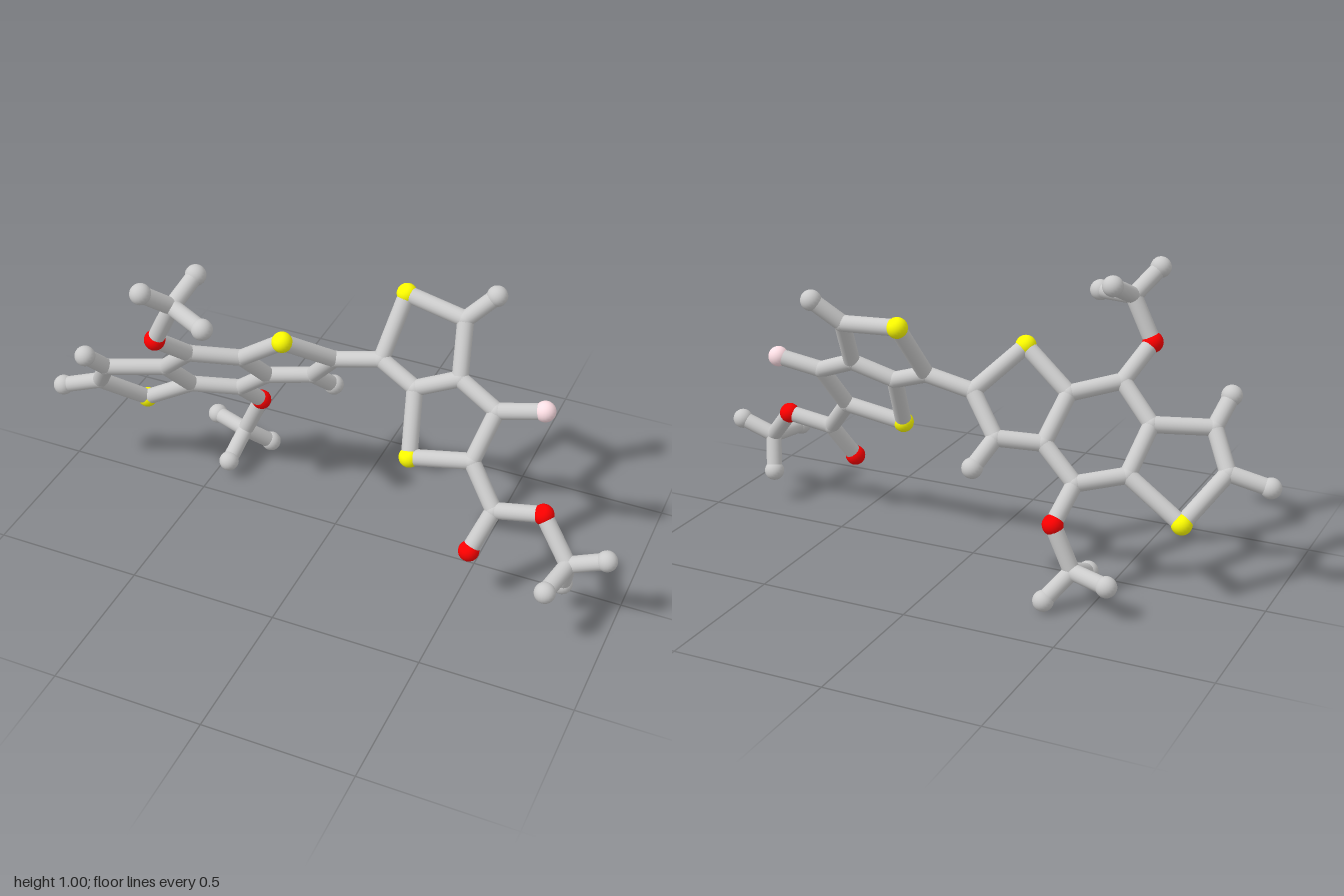
import * as THREE from 'three';

const STICK = 0.027, JOINT = 0.0285, BALL = 0.034;

const materials = {
  grey: new THREE.MeshStandardMaterial({ color: 0xcccccc }),
  red: new THREE.MeshStandardMaterial({ color: 0xff0000 }),
  yellow: new THREE.MeshStandardMaterial({ color: 0xffff00 }),
  pink: new THREE.MeshStandardMaterial({ color: 0xffe0e6 }),
};

// Each fragment: named atoms [x, y, z, kind] and chains of bonded atoms.
// Kinds: none = joint as thick as the sticks, end = grey ball, or a ball colour.
const fragments = {
  fusedTripleRing: {
    atoms: {
      s1: [-0.74, 0.275, -0.07, 'yellow'],
      a2: [-0.837, 0.41, 0.068],
      a2End: [-0.967, 0.372, 0.097, 'end'],
      a3: [-0.767, 0.527, 0.134],
      a3End: [-0.794, 0.612, 0.211, 'end'],
      a3a: [-0.585, 0.532, 0.062],
      a7a: [-0.553, 0.398, -0.052],
      top: [-0.47, 0.645, 0.104],
      b3a: [-0.325, 0.611, 0.015],
      b7a: [-0.29, 0.477, -0.1],
      bottom: [-0.409, 0.373, -0.13],
      s2: [-0.163, 0.736, 0.047, 'yellow'],
      b2: [-0.045, 0.612, -0.097],
      b3: [-0.147, 0.488, -0.148],
      b3End: [-0.104, 0.408, -0.226, 'end'],
    },
    chains: [
      's1 a2 a3 a3a a7a s1', 'a2 a2End', 'a3 a3End',
      'a3a top b3a b7a bottom a7a', 'b3a s2 b2 b3 b7a', 'b3 b3End',
    ],
  },
  upperSideChain: {
    atoms: {
      o1: [-0.527, 0.749, 0.213, 'red'],
      m1: [-0.457, 0.893, 0.214],
      m1a: [-0.516, 0.972, 0.296, 'end'],
      m1b: [-0.43, 0.949, 0.1, 'end'],
      m1c: [-0.323, 0.88, 0.273, 'end'],
    },
    chains: ['top o1 m1 m1a', 'm1 m1b', 'm1 m1c'],
  },
  lowerSideChain: {
    atoms: {
      o2: [-0.377, 0.267, -0.224, 'red'],
      m2: [-0.442, 0.12, -0.22],
      m2a: [-0.575, 0.116, -0.27, 'end'],
      m2b: [-0.446, 0.068, -0.094, 'end'],
      m2c: [-0.377, 0.038, -0.291, 'end'],
    },
    chains: ['bottom o2 m2 m2a', 'm2 m2b', 'm2 m2c'],
  },
  fusedDoubleRing: {
    atoms: {
      c1: [0.113, 0.648, -0.108],
      s3: [0.147, 0.832, -0.235, 'yellow'],
      c3: [0.358, 0.81, -0.203],
      c3End: [0.441, 0.888, -0.252, 'end'],
      c3a: [0.382, 0.65, -0.106],
      c6a: [0.245, 0.598, -0.071],
      s4: [0.275, 0.41, 0.042, 'yellow'],
      d2: [0.48, 0.447, 0.027],
      d3: [0.522, 0.592, -0.066],
      d3End: [0.672, 0.622, -0.086, 'pink'],
    },
    chains: ['b2 c1 s3 c3 c3a c6a c1', 'c3 c3End', 'c6a s4 d2 d3 c3a', 'd3 d3End'],
  },
  endSideChain: {
    atoms: {
      e: [0.582, 0.33, 0.092],
      o3: [0.532, 0.204, 0.166, 'red'],
      o4: [0.74, 0.357, 0.08, 'red'],
      m3: [0.848, 0.238, 0.142],
      m3a: [0.965, 0.284, 0.129, 'end'],
      m3b: [0.826, 0.119, 0.102, 'end'],
      m3c: [0.82, 0.232, 0.285, 'end'],
    },
    chains: ['d2 e o3', 'e o4 m3 m3a', 'm3 m3b', 'm3 m3c'],
  },
};

const UP = new THREE.Vector3(0, 1, 0);

function ball(position, kind) {
  const geometry = new THREE.SphereGeometry(kind ? BALL : JOINT, 20, 14);
  const mesh = new THREE.Mesh(geometry, materials[kind] || materials.grey);
  mesh.name = kind ? (kind === 'end' ? 'greyBall' : kind + 'Ball') : 'joint';
  mesh.position.copy(position);
  return mesh;
}

function stick(a, b) {
  const along = b.clone().sub(a);
  const geometry = new THREE.CylinderGeometry(STICK, STICK, along.length(), 20, 1, true);
  const mesh = new THREE.Mesh(geometry, materials.grey);
  mesh.name = 'stick';
  mesh.position.copy(a).addScaledVector(along, 0.5);
  mesh.quaternion.setFromUnitVectors(UP, along.normalize());
  return mesh;
}

export function createModel() {
  const model = new THREE.Group();
  model.name = 'ballAndStickMolecule';
  const points = {};

  for (const [name, { atoms, chains }] of Object.entries(fragments)) {
    const group = new THREE.Group();
    group.name = name;
    model.add(group);

    // Balls and joints
    for (const [id, [x, y, z, kind]] of Object.entries(atoms)) {
      points[id] = new THREE.Vector3(x, y, z);
      group.add(ball(points[id], kind));
    }

    // Sticks between neighbours in each chain
    for (const chain of chains) {
      const ids = chain.split(' ');
      for (let i = 1; i < ids.length; i++) {
        group.add(stick(points[ids[i - 1]], points[ids[i]]));
      }
    }
  }
  return model;
}
